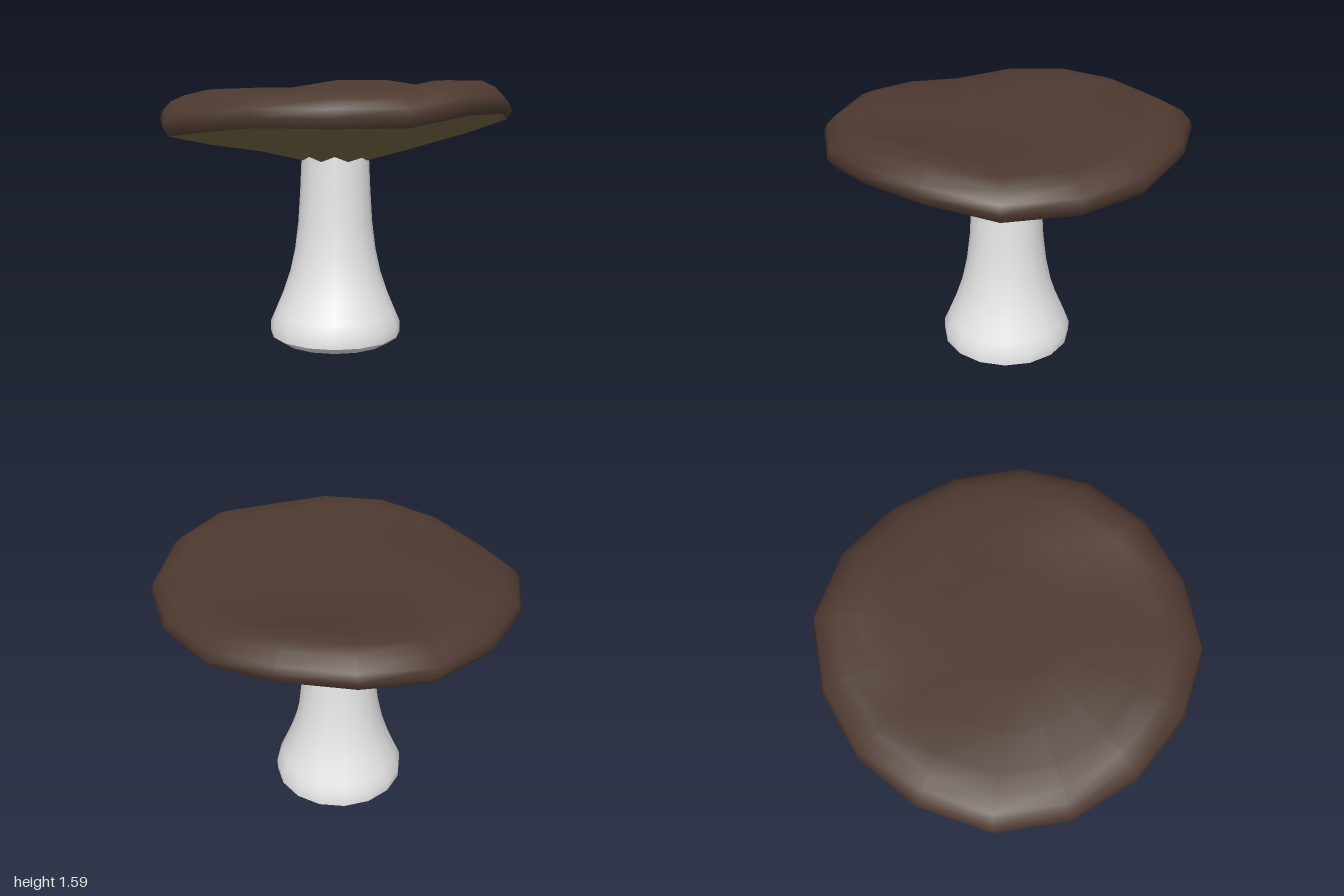
import * as THREE from 'three';

const SIDES = 16;

// Skins rings of points; the profile runs so that faces point outward.
function ringSurface(rings, pointAt) {
  const pos = [], index = [];
  rings.forEach((ring) => {
    for (let i = 0; i < SIDES; i++) {
      const a = (i / SIDES) * Math.PI * 2;
      const [r, y] = pointAt(ring, i);
      pos.push(Math.sin(a) * r, y, Math.cos(a) * r);
    }
  });
  for (let j = 0; j < rings.length - 1; j++) {
    for (let i = 0; i < SIDES; i++) {
      const n = (i + 1) % SIDES;
      const a = j * SIDES + i, b = j * SIDES + n;
      const c = b + SIDES, d = a + SIDES;
      if (rings[j][0] > 0) index.push(a, b, c);
      if (rings[j + 1][0] > 0) index.push(a, c, d);
      else if (rings[j][0] > 0) index.splice(-3, 3, a, b, d);
    }
  }
  const geo = new THREE.BufferGeometry();
  geo.setAttribute('position', new THREE.Float32BufferAttribute(pos, 3));
  geo.setIndex(index);
  geo.computeVertexNormals();
  return geo;
}

// Height of the wavy rim at each side, from the front toward +x.
const WAVE = [-0.035, 0, 0, 0, 0.052, 0.05, 0.005, 0, 0.01, 0.055, 0.055, 0, 0, -0.005, -0.035, -0.075];
// Slight squaring of the outline.
const SPREAD = [1, 1.008, 1.03, 1.008];

export function createModel() {
  const group = new THREE.Group();
  const material = (name, color) => {
    const m = new THREE.MeshStandardMaterial({ color });
    m.name = name;
    return m;
  };
  const capBrown = material('capBrown', 0x4d3930);
  const gillOlive = material('gillOlive', 0x766847);
  const stemWhite = material('stemWhite', 0xefefef);

  const add = (name, geo, mat) => {
    const mesh = new THREE.Mesh(geo, mat);
    mesh.name = name;
    group.add(mesh);
  };

  // Cap and gills: [radius, height, how much of the wave applies]
  const wavy = ([r, y, w], i) => [r * SPREAD[i % 4], y + WAVE[i] * w];
  const capProfile = [
    [0.97, 1.36, 1], [1.0, 1.41, 1], [0.98, 1.455, 1], [0.93, 1.505, 1],
    [0.86, 1.537, 1], [0.75, 1.542, 0.9], [0.55, 1.538, 0.1], [0.3, 1.534, 0], [0, 1.532, 0],
  ];
  add('cap', ringSurface(capProfile, wavy), capBrown);

  // Gills, with alternate folds raised near the stem
  const gillProfile = [
    [0.17, 1.122, 0, 0.03], [0.2, 1.13, 0, 0.03], [0.45, 1.197, 0.1, 0.015],
    [0.74, 1.28, 0.6, 0], [0.97, 1.36, 1, 0],
  ];
  add('gills', ringSurface(gillProfile, (p, i) => {
    const [r, y] = wavy(p, i);
    return [p[0] < 0.3 ? p[0] : r, y + (i % 2 === 0 ? p[3] : 0)];
  }), gillOlive);

  // Stem with a flared foot
  const plain = ([r, y]) => [r, y];
  const stemProfile = [
    [0.39, 0.087], [0.39, 0.15], [0.36, 0.22], [0.31, 0.34], [0.27, 0.46],
    [0.24, 0.6], [0.22, 0.76], [0.208, 0.95], [0.2, 1.12], [0.199, 1.18],
  ];
  add('stem', ringSurface(stemProfile, plain), stemWhite);

  // Rounded underside of the foot
  const footProfile = [[0, 0], [0.2, 0.014], [0.33, 0.045], [0.39, 0.087]];
  add('stemFoot', ringSurface(footProfile, plain), stemWhite);

  return group;
}
